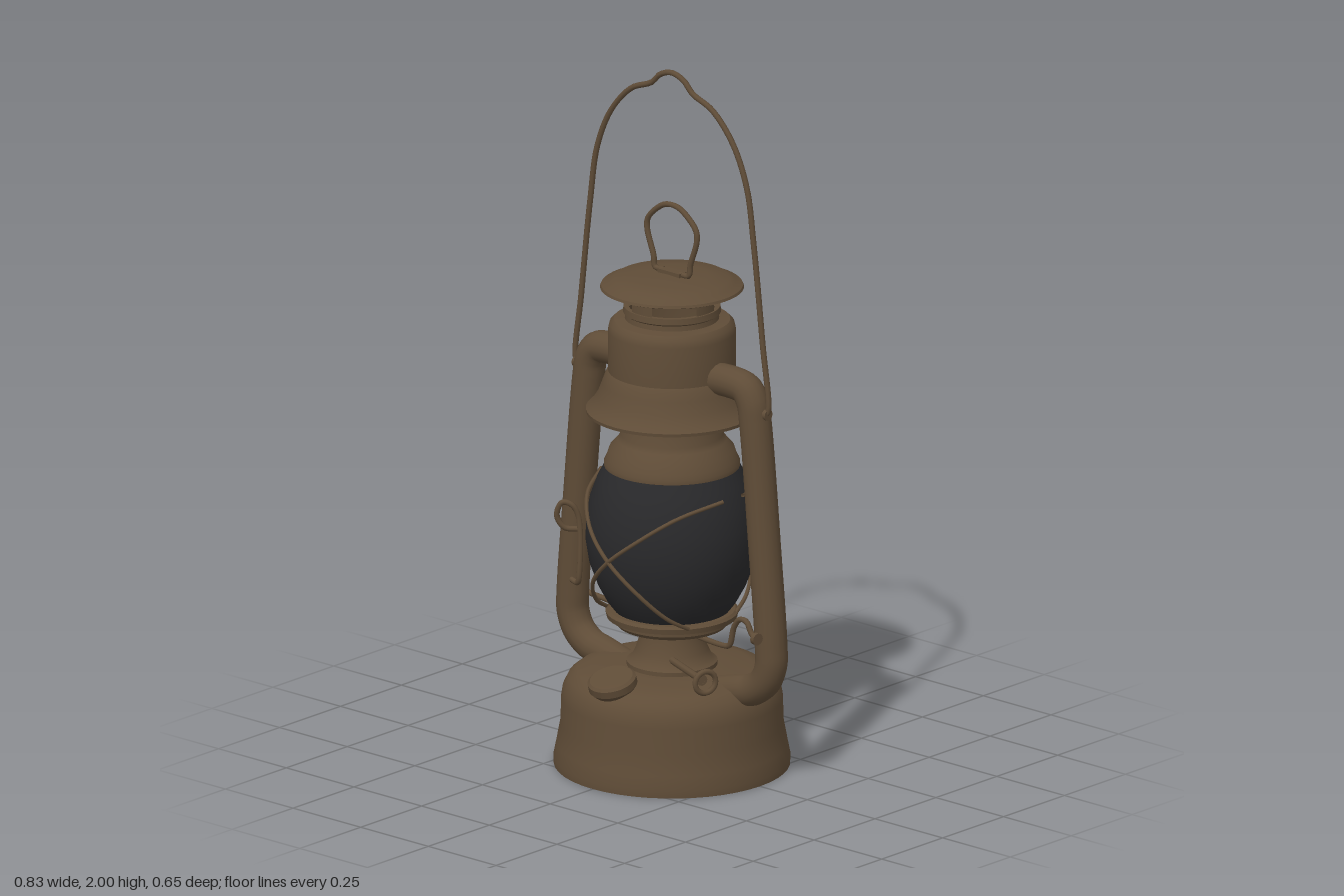
import * as THREE from 'three';
import { toCreasedNormals } from 'three/addons/utils/BufferGeometryUtils.js';

const V = (x, y, z = 0) => new THREE.Vector3(x, y, z);

export function createModel() {
  const model = new THREE.Group();
  model.name = 'lantern';
  const metal = new THREE.MeshStandardMaterial({ color: 0x5f4c37, side: THREE.DoubleSide });
  metal.name = 'brown metal';
  const glass = new THREE.MeshStandardMaterial({ color: 0x29292b, side: THREE.DoubleSide });
  glass.name = 'dark glass';

  const add = (name, geometry, material = metal, parent = model) => {
    const mesh = new THREE.Mesh(geometry, material);
    mesh.name = name;
    parent.add(mesh);
    return mesh;
  };
  // Turned part from [radius, height] pairs, listed bottom to top
  const turned = (name, profile, material = metal, parent = model) => {
    const points = profile.map(([r, y]) => new THREE.Vector2(r, y));
    return add(name, toCreasedNormals(new THREE.LatheGeometry(points, 48), 0.6), material, parent);
  };
  // Round wire or pipe through the given points
  const wire = (name, points, radius, segments = 48, closed = false, sides = 8) => {
    const curve = new THREE.CatmullRomCurve3(points, closed, 'centripetal');
    return add(name, new THREE.TubeGeometry(curve, segments, radius, sides, closed));
  };
  // Mirrors a half path ending on x = 0 into a full one
  const mirrored = (half) => [
    ...half.map(([x, y]) => V(x, y)),
    ...half.slice(0, -1).reverse().map(([x, y]) => V(-x, y)),
  ];

  // Fuel tank, neck and burner
  turned('fuelTank', [[0, 0], [0.325, 0], [0.326, 0.02], [0.318, 0.06], [0.307, 0.12], [0.305, 0.19],
    [0.3, 0.22], [0.285, 0.25], [0.262, 0.268], [0.22, 0.28], [0.13, 0.285], [0, 0.285]]);
  turned('burnerNeck', [[0.125, 0.275], [0.125, 0.297], [0.112, 0.305], [0.1, 0.33], [0.088, 0.37],
    [0.085, 0.4], [0.13, 0.405]]);
  turned('globeSeat', [[0, 0.4], [0.15, 0.4], [0.158, 0.41], [0.158, 0.42], [0.18, 0.425],
    [0.183, 0.44], [0.175, 0.447], [0.15, 0.447]]);

  // Glass globe
  turned('globe', [[0.155, 0.44], [0.178, 0.47], [0.205, 0.52], [0.227, 0.58], [0.238, 0.65],
    [0.236, 0.71], [0.225, 0.77], [0.205, 0.825], [0.183, 0.865]], glass);

  // Chimney and flared hood
  turned('chimney', [[0.178, 0.855], [0.187, 0.86], [0.187, 0.872], [0.18, 0.885], [0.172, 0.91],
    [0.15, 0.935], [0.141, 0.95], [0.141, 1.1]]);
  turned('hood', [[0.225, 1.015], [0.236, 1.015], [0.237, 1.024], [0.222, 1.038], [0.205, 1.065],
    [0.192, 1.1], [0.183, 1.125], [0.176, 1.135], [0.176, 1.25], [0.172, 1.27], [0.16, 1.282],
    [0.13, 1.286], [0.128, 1.3], [0.135, 1.305], [0.133, 1.322], [0.12, 1.322]]);

  // Vent posts under the cap
  const half = 0.29;
  for (let i = 0; i < 4; i++) {
    add('ventPost', new THREE.CylinderGeometry(0.128, 0.128, 0.07, 8, 1, true,
      i * Math.PI / 2 - half, 2 * half)).position.y = 1.345;
  }
  turned('cap', [[0, 1.368], [0.13, 1.368], [0.188, 1.37], [0.198, 1.374], [0.195, 1.381],
    [0.175, 1.39], [0.158, 1.4], [0.1, 1.407], [0, 1.412]]);

  // Lifting ring on the cap
  add('ringBracket', new THREE.BoxGeometry(0.08, 0.018, 0.03)).position.y = 1.412;
  wire('liftingRing', mirrored([[-0.03, 1.417], [-0.062, 1.418], [-0.068, 1.45], [-0.092, 1.525],
    [-0.088, 1.555], [-0.035, 1.602], [0, 1.61]]), 0.008, 72);

  // Carrying bail
  wire('bail', mirrored([[-0.345, 1.075], [-0.356, 1.09], [-0.335, 1.28], [-0.302, 1.56],
    [-0.276, 1.72], [-0.225, 1.835], [-0.15, 1.915], [-0.075, 1.948], [-0.045, 1.977],
    [0, 1.992]]), 0.008, 120);

  for (const s of [-1, 1]) {
    // Side air pipes
    wire('sidePipe', [[0.17, 0.24], [0.25, 0.262], [0.3, 0.275], [0.345, 0.31], [0.366, 0.36],
      [0.366, 0.42], [0.342, 0.7], [0.308, 1.05], [0.298, 1.105], [0.275, 1.138], [0.235, 1.146],
      [0.15, 1.145]].map(([x, y]) => V(s * x, y)), 0.045, 90, false, 16);
    // Bail eyelets
    const eyelet = add('bailEyelet', new THREE.CylinderGeometry(0.016, 0.016, 0.03, 12));
    eyelet.rotation.z = Math.PI / 2;
    eyelet.position.set(s * 0.342, 1.08, 0);
    // Crossed guard wires, front and back
    for (const f of [-1, 1]) {
      wire('guardWire', [[-0.225, 0.81, 0.04], [-0.165, 0.775, 0.165], [-0.085, 0.71, 0.24],
        [0, 0.64, 0.263], [0.08, 0.56, 0.235], [0.13, 0.48, 0.165], [0.15, 0.435, 0.09]]
        .map(([x, y, z]) => V(s * x, y, f * z)), 0.006, 48, false, 6);
    }
  }

  // Tilted filler cap at the front of the tank
  const filler = new THREE.Group();
  filler.name = 'fillerCap';
  filler.position.set(0, 0.235, 0.228);
  filler.rotation.x = 0.3;
  model.add(filler);
  turned('fillerNeck', [[0.05, -0.03], [0.05, 0.025], [0.058, 0.035]], metal, filler);
  turned('fillerLid', [[0, 0.03], [0.056, 0.03], [0.068, 0.046], [0.068, 0.066], [0.06, 0.073],
    [0, 0.075]], metal, filler);

  // Wick adjuster: stem with a ring handle
  wire('wickStem', [V(0.05, 0.325, 0.065), V(0.15, 0.325, 0.108), V(0.245, 0.325, 0.148)], 0.01, 8);
  const knob = add('wickRing', new THREE.TorusGeometry(0.031, 0.008, 8, 24));
  knob.position.set(0.263, 0.325, 0.155);
  knob.rotation.y = Math.PI / 2 - 0.39;
  const collar = add('wickCollar', new THREE.CylinderGeometry(0.016, 0.016, 0.02, 12));
  collar.position.set(0.235, 0.325, 0.144);
  collar.rotation.set(0, -0.4, Math.PI / 2, 'YXZ');

  // Globe lift rod with crank end
  wire('liftRod', [V(-0.395, 0.395, -0.065), V(-0.1, 0.395, -0.016), V(0.23, 0.395, 0.038),
    V(0.25, 0.402, 0.041), V(0.27, 0.46, 0.045), V(0.295, 0.488, 0.049), V(0.325, 0.488, 0.054),
    V(0.345, 0.46, 0.057), V(0.365, 0.45, 0.06)], 0.008, 80);
  for (const [x, y, z] of [[-0.394, 0.395, -0.065], [0.366, 0.45, 0.06]]) {
    const head = add('rodHead', new THREE.CylinderGeometry(0.017, 0.017, 0.014, 12));
    head.position.set(x, y, z);
    head.rotation.set(0, -0.16, Math.PI / 2, 'YXZ');
  }

  // Wire catch on the right pipe
  wire('catchWire', [V(-0.33, 0.465, 0.045), V(-0.3, 0.465, 0.055), V(-0.29, 0.48, 0.06),
    V(-0.292, 0.66, 0.06), V(-0.305, 0.695, 0.075), V(-0.325, 0.7, 0.09), V(-0.34, 0.66, 0.095),
    V(-0.325, 0.625, 0.08), V(-0.3, 0.62, 0.055)], 0.008, 60);
  return model;
}
